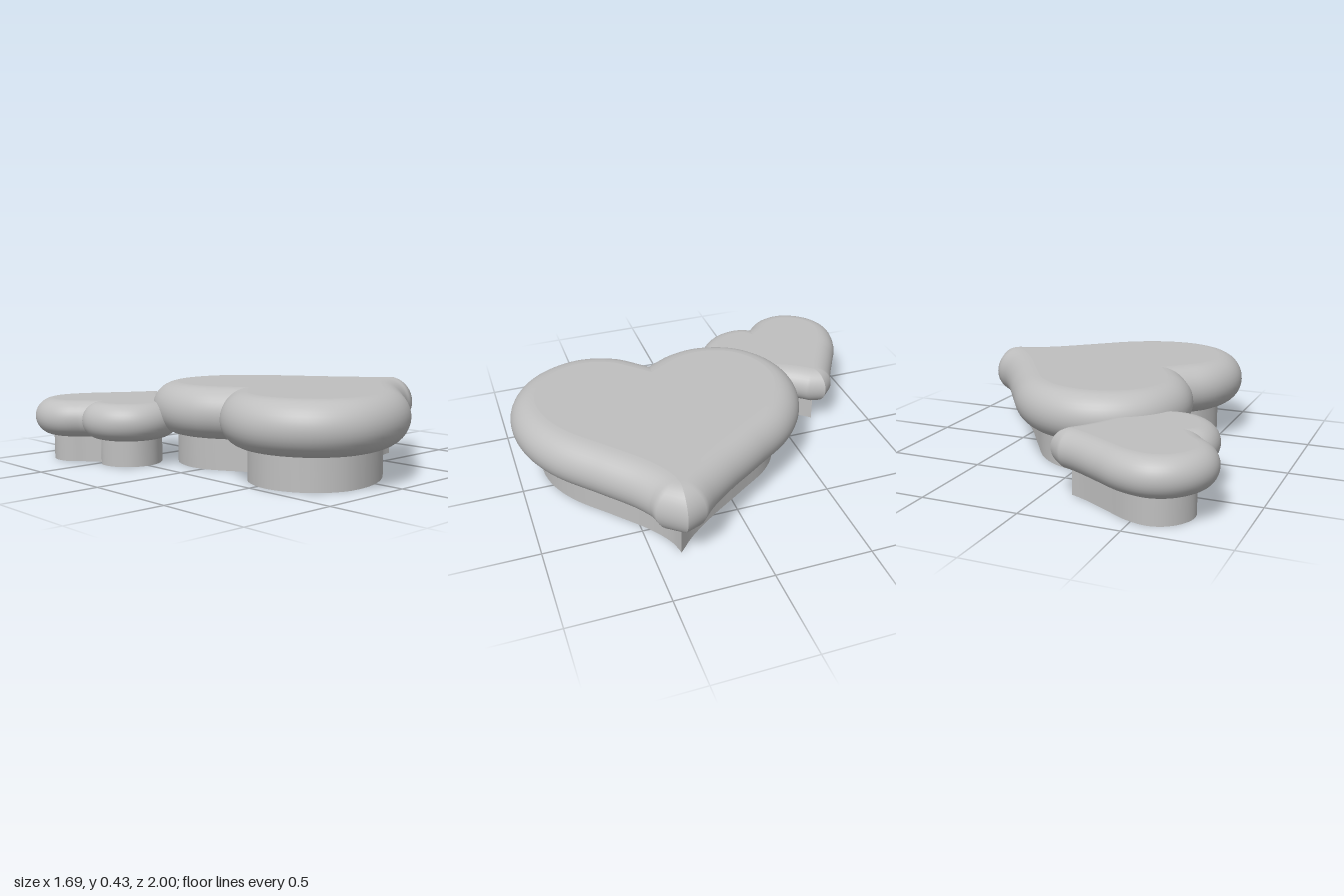
import * as THREE from 'three';
import { toCreasedNormals } from 'three/addons/utils/BufferGeometryUtils.js';

const STEPS = 72; // samples along each half of a heart
const ARC = 18;   // segments around the rounded rim

// Smooth curve in the ground plane through [x, z] points
const halfCurve = (pts) =>
  new THREE.CatmullRomCurve3(pts.map(([x, z]) => new THREE.Vector3(x, 0, z)), false, 'centripetal');

// Half-round rim swept along one half of the outline, closing on a mitred tip
function rimGeometry(curve, side, radius, midY, tip) {
  const pos = [], index = [], row = ARC + 1;
  for (let i = 0; i <= STEPS + 1; i++) {
    const u = Math.min(i / STEPS, 1);
    const p = curve.getPointAt(u), t = curve.getTangentAt(u);
    const out = i > STEPS ? tip : [side * t.z * radius, -side * t.x * radius];
    for (let j = 0; j <= ARC; j++) {
      const a = (j / ARC - 0.5) * Math.PI;
      pos.push(p.x + out[0] * Math.cos(a), midY + radius * Math.sin(a), p.z + out[1] * Math.cos(a));
      if (i > STEPS || j === ARC) continue;
      const k = i * row + j, n = k + row;
      if (side > 0) index.push(k, k + 1, n, n, k + 1, n + 1);
      else index.push(k, n, k + 1, n, n + 1, k + 1);
    }
  }
  const g = new THREE.BufferGeometry();
  g.setAttribute('position', new THREE.Float32BufferAttribute(pos, 3));
  g.setIndex(index);
  g.computeVertexNormals();
  return g;
}

// Upright heart core: stem wall, flat top and flat underside
function coreGeometry(back, front, height) {
  const outline = [
    ...back.getSpacedPoints(STEPS),
    ...front.getSpacedPoints(STEPS).reverse().slice(1, -1),
  ].map((p) => new THREE.Vector2(p.x, -p.z));
  const g = new THREE.ExtrudeGeometry(new THREE.Shape(outline), { depth: height, bevelEnabled: false });
  g.rotateX(-Math.PI / 2);
  return toCreasedNormals(g, 0.6);
}

function heart(name, spec, material) {
  const group = new THREE.Group();
  group.name = name;
  const back = halfCurve([spec.notch, ...spec.back, spec.point]);
  const front = halfCurve([spec.notch, ...spec.front, spec.point]);
  const add = (geometry, part) => {
    const mesh = new THREE.Mesh(geometry, material);
    mesh.name = part;
    group.add(mesh);
  };
  add(coreGeometry(back, front, spec.height), 'heartCore');
  const midY = spec.height - spec.radius;
  add(rimGeometry(back, 1, spec.radius, midY, spec.tip), 'backRim');
  add(rimGeometry(front, -1, spec.radius, midY, spec.tip), 'frontRim');
  return group;
}

export function createModel() {
  const grey = new THREE.MeshStandardMaterial({ color: 0xbfbfbf });
  grey.name = 'plainGrey';
  const model = new THREE.Group();
  model.name = 'doubleHeart';

  model.add(heart('largeHeart', {
    height: 0.43, radius: 0.133, notch: [-0.24, 0.22], point: [0.71, 0.365], tip: [0.13, 0.005],
    back: [[-0.31, 0.1], [-0.345, 0.03], [-0.363, -0.09], [-0.31, -0.25], [-0.19, -0.35], [-0.04, -0.385],
      [0.11, -0.35], [0.235, -0.26], [0.37, -0.07], [0.51, 0.14], [0.62, 0.28]],
    front: [[-0.33, 0.31], [-0.41, 0.4], [-0.453, 0.54], [-0.43, 0.67], [-0.36, 0.78], [-0.25, 0.85],
      [-0.14, 0.867], [0, 0.842], [0.15, 0.765], [0.34, 0.6], [0.51, 0.455], [0.63, 0.385]],
  }, grey));

  model.add(heart('smallHeart', {
    height: 0.33, radius: 0.097, notch: [-0.61, -0.51], point: [-0.13, -0.695], tip: [0.095, -0.03],
    back: [[-0.67, -0.595], [-0.73, -0.66], [-0.748, -0.74], [-0.72, -0.82], [-0.66, -0.88], [-0.585, -0.903],
      [-0.48, -0.88], [-0.37, -0.82], [-0.24, -0.745], [-0.18, -0.715]],
    front: [[-0.65, -0.475], [-0.66, -0.43], [-0.645, -0.355], [-0.59, -0.29], [-0.53, -0.265], [-0.45, -0.27],
      [-0.37, -0.32], [-0.29, -0.43], [-0.22, -0.57], [-0.175, -0.64]],
  }, grey));

  return model;
}
